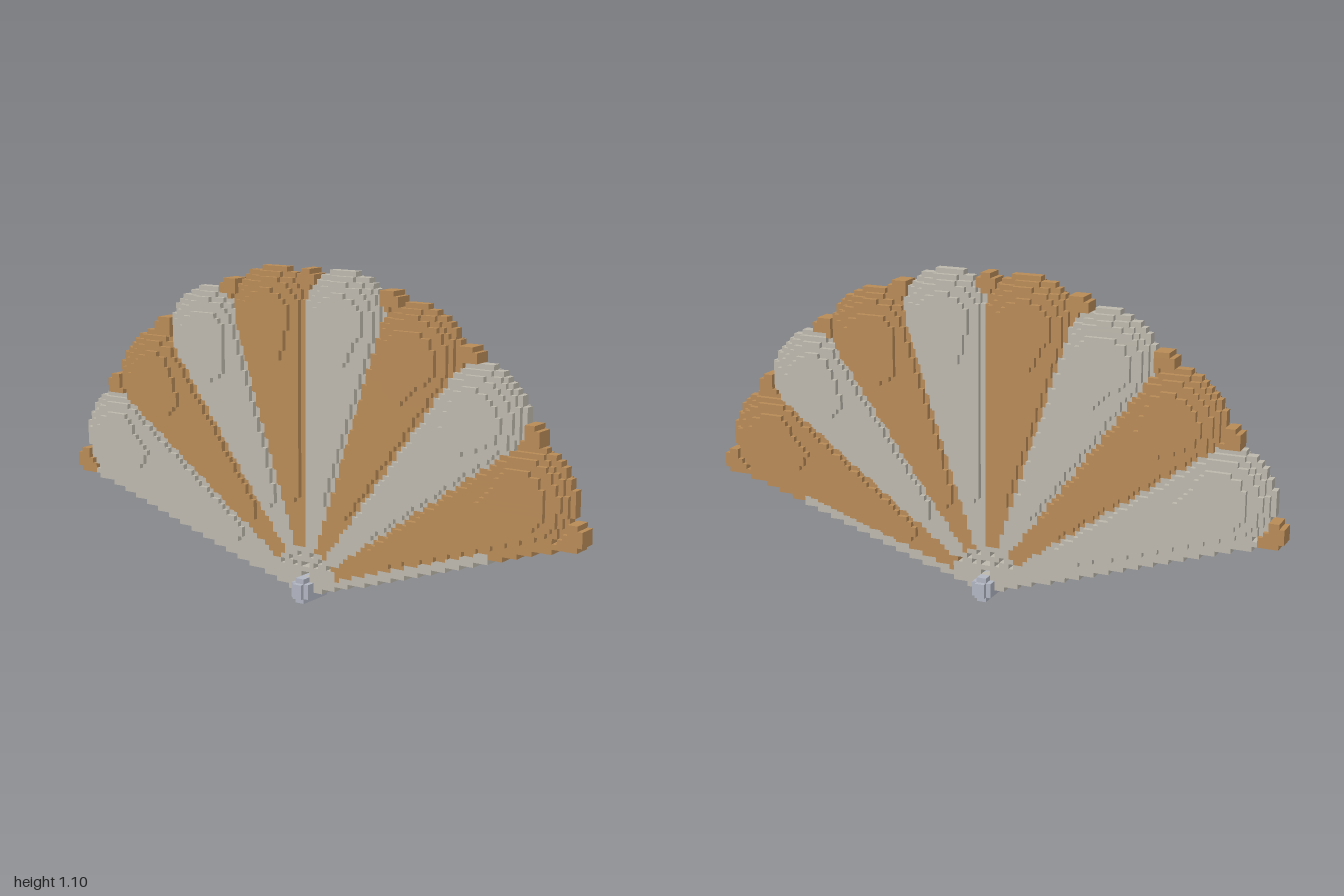
import * as THREE from 'three';

const V = 1 / 60;                 // block size
const PIVOT = 0.05;               // height of the pivot
const STEP = Math.PI / 10;        // angle taken by one petal
const HALF_FAN = 4 * STEP;
const NX = 60, NY = 66;

const mat = (name, color) => {
  const m = new THREE.MeshStandardMaterial({ color });
  m.name = name;
  return m;
};

// small gaps between the sticks above the pivot, mirrored in x: [column, row]
const GAPS = [[5, 7], [2, 7], [3, 8], [1, 9], [0, 5], [0, 7]];

// Which part fills a column of blocks, and how many layers it has each side of z = 0
function cellAt(i, j) {
  if (i < -NX || i >= NX || j < 0 || j >= NY) return null;
  const x = (i + 0.5) * V, y = (j + 0.5) * V - PIVOT;
  const r = Math.hypot(x, y), a = Math.atan2(x, y);
  const col = i < 0 ? -1 - i : i;
  if (GAPS.some(([c, w]) => c === col && w === j)) return null;

  // petals with a rounded, stepped rim
  if (Math.abs(a) < HALF_FAN) {
    const k = Math.floor((a + HALF_FAN) / STEP);
    const mid = (k + 0.5) * STEP - HALF_FAN;
    const d = r * Math.cos(a - mid), t = Math.abs(r * Math.sin(a - mid));
    const rim = 0.17 - (d > 0.89 ? Math.hypot(d - 0.89, t) : 0);
    if (rim > 0) {
      if (r < 0.13) return { part: 'sticks', level: 2 };
      const side = r * Math.sin(STEP / 2 - Math.abs(a - mid));
      const drop = d > 0.89
        ? Math.hypot(d - 0.89, t) < 0.098
        : d > 0.755 && t < 0.035 + 0.45 * (d - 0.755);
      let level = 2;
      if (rim < 0.017) level = 1;
      else if (drop) level = 4;
      else if (rim > 0.036 && side > 0.014 && d - t * 0.3 > 0.29) level = 3;
      return { part: 'petal' + (k + 1), level };
    }
  }
  // round ends of the ribs between the petals
  for (let k = 0; k <= 8; k++) {
    const b = k * STEP - HALF_FAN;
    if (Math.hypot(x - Math.sin(b), y - Math.cos(b)) < 0.045) return { part: 'ribTips', level: 2 };
  }
  // guard sticks along both outer edges
  const along = Math.abs(x) * Math.sin(HALF_FAN) + y * Math.cos(HALF_FAN);
  const off = Math.abs(x) * Math.cos(HALF_FAN) - y * Math.sin(HALF_FAN);
  if (along > 0 && along < 0.95 && off >= 0 && off < 0.03) {
    return { part: x > 0 && along > 0.72 ? 'petal8' : 'guardSticks', level: 2 };
  }
  return null;
}

function buildFan() {
  const grid = new Map();
  const key = (i, j) => i * 1000 + j;
  for (let j = 0; j < NY; j++) for (let i = -NX; i < NX; i++) {
    const c = cellAt(i, j);
    if (c) grid.set(key(i, j), c);
  }
  const parts = {};
  const quad = (part, a, b, c, d) => {
    const list = (parts[part] ??= []);
    for (const p of [a, b, c, a, c, d]) list.push(p[0] * V, p[1] * V, p[2] * V);
  };
  for (let j = 0; j < NY; j++) for (let i = -NX; i < NX; i++) {
    const cell = grid.get(key(i, j));
    if (!cell) continue;
    const { part, level: h } = cell;
    // front and back, one quad for each run of equal blocks
    const same = (c) => c && c.part === part && c.level === h;
    if (!same(grid.get(key(i - 1, j)))) {
      let e = i + 1;
      while (same(grid.get(key(e, j)))) e++;
      quad(part, [i, j, h], [e, j, h], [e, j + 1, h], [i, j + 1, h]);
      quad(part, [e, j, -h], [i, j, -h], [i, j + 1, -h], [e, j + 1, -h]);
    }
    // exposed sides
    for (const [dx, dy] of [[1, 0], [0, 1], [-1, 0], [0, -1]]) {
      const n = grid.get(key(i + dx, j + dy))?.level ?? 0;
      if (n >= h) continue;
      const cx = i + 0.5, cy = j + 0.5;
      const p = [cx + (dx + dy) / 2, cy + (dy - dx) / 2];
      const q = [cx + (dx - dy) / 2, cy + (dy + dx) / 2];
      for (const [z0, z1] of n ? [[n, h], [-h, -n]] : [[-h, h]]) {
        quad(part, [...p, z1], [...p, z0], [...q, z0], [...q, z1]);
      }
    }
  }
  return parts;
}

export function createModel() {
  const group = new THREE.Group();
  group.name = 'foldingFan';
  const grey = mat('warm grey', 0xbdb8ad);
  const tan = mat('tan orange', 0xb88b57);
  const steel = mat('steel', 0xb1b5c1);

  for (const [name, points] of Object.entries(buildFan())) {
    const geo = new THREE.BufferGeometry();
    geo.setAttribute('position', new THREE.Float32BufferAttribute(points, 3));
    geo.computeVertexNormals();
    const isTan = name === 'ribTips' || /petal[2468]/.test(name);
    const mesh = new THREE.Mesh(geo, isTan ? tan : grey);
    mesh.name = name;
    group.add(mesh);
  }

  // pivot pin, in blocks: half width, bottom, top, half depth
  const pin = new THREE.Group();
  pin.name = 'pivotPin';
  for (const [w, y0, y1, d] of [[2, 1, 4, 4], [1, 0, 5, 4], [1, 1, 4, 5]]) {
    const box = new THREE.Mesh(new THREE.BoxGeometry(2 * w * V, (y1 - y0) * V, 2 * d * V), steel);
    box.position.y = ((y0 + y1) / 2) * V;
    box.name = 'pinBlock';
    pin.add(box);
  }
  group.add(pin);
  return group;
}
